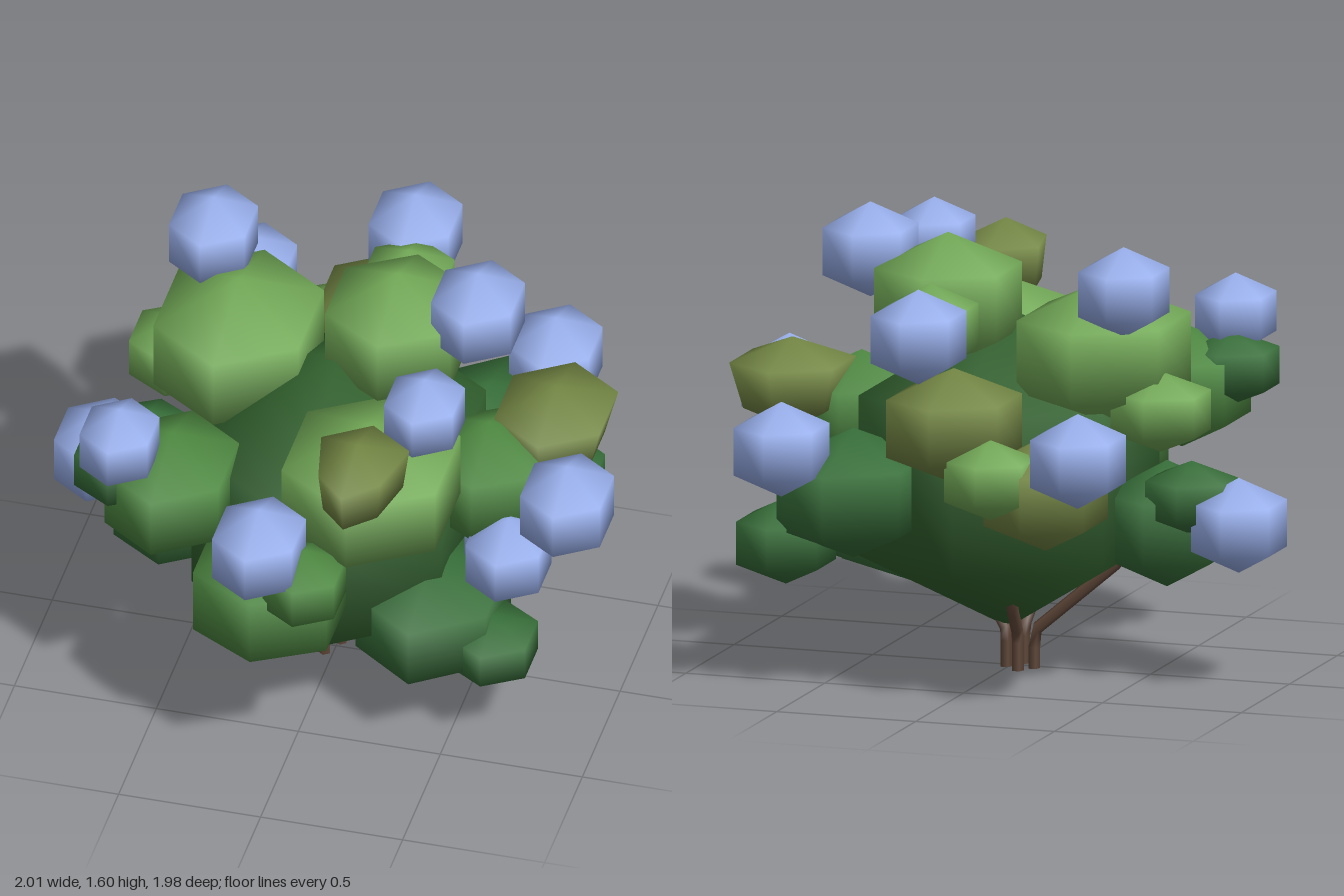
import * as THREE from 'three';

const paint = (color) => new THREE.MeshStandardMaterial({ color });
const COLORS = {
  core: paint(0x33632f),
  dark: paint(0x38703a),
  mid: paint(0x4f8a42),
  light: paint(0x74ab58),
  olive: paint(0x758845),
  blue: paint(0x9bb2ef),
  bark: paint(0x5e4638),
};

// Six-sided, three-band ball with its corners along z, sized to fill a unit half-box.
// base narrows the lower band, nose narrows the front corners.
function makeBall(base = 1, nose = 1) {
  const geometry = new THREE.SphereGeometry(1, 6, 3);
  geometry.rotateY(Math.PI / 6);
  geometry.scale(1 / 0.75, 1, 1 / Math.sqrt(0.75));
  const p = geometry.attributes.position;
  for (let i = 0; i < p.count; i++) {
    const low = p.getY(i) < 0 ? base : 1;
    const front = p.getZ(i) > 0.1 ? nose : 1;
    p.setX(i, p.getX(i) * low * front);
    p.setZ(i, p.getZ(i) * low);
  }
  return geometry;
}
const BALL = makeBall();
const TAPERED = makeBall(0.78);
const KITE = makeBall(0.88, 0.7);

function blob(name, material, [x, y, z], [hx, hy, hz], geometry = BALL) {
  const mesh = new THREE.Mesh(geometry, material);
  mesh.name = name;
  mesh.position.set(x, y, z);
  mesh.scale.set(hx, hy, hz);
  return mesh;
}

// Leaf clumps: colour, centre, half size, shape
const CLUMPS = [
  // crown
  ['light', [-0.38, 1.14, -0.14], [0.255, 0.25, 0.34]],
  ['light', [0.18, 1.29, -0.14], [0.22, 0.23, 0.27]],
  ['light', [0.23, 1.04, 0.4], [0.27, 0.24, 0.34]],
  ['olive', [0.255, 1.255, 0.68], [0.155, 0.148, 0.215], KITE],
  ['light', [0.14, 1.25, -0.43], [0.14, 0.15, 0.17]],
  // front
  ['mid', [-0.07, 0.68, 0.62], [0.235, 0.24, 0.26]],
  ['mid', [0.09, 0.84, 0.76], [0.125, 0.14, 0.16]],
  ['mid', [-0.465, 0.92, 0.43], [0.2, 0.215, 0.275]],
  ['dark', [-0.64, 0.99, 0.45], [0.14, 0.13, 0.17]],
  // -x side
  ['dark', [-0.56, 0.53, 0.0], [0.19, 0.22, 0.25]],
  ['dark', [-0.69, 0.65, -0.12], [0.14, 0.13, 0.16]],
  ['light', [-0.62, 0.97, -0.24], [0.15, 0.14, 0.18]],
  // +x side
  ['dark', [0.4, 0.42, 0.22], [0.23, 0.21, 0.33]],
  ['dark', [0.635, 0.36, 0.31], [0.135, 0.12, 0.17]],
  ['mid', [0.54, 0.84, 0.0], [0.2, 0.22, 0.24]],
  ['olive', [0.73, 0.965, -0.17], [0.185, 0.16, 0.25], TAPERED],
  // back
  ['dark', [0.42, 0.655, -0.43], [0.22, 0.225, 0.33]],
  ['dark', [0.65, 0.48, -0.47], [0.145, 0.15, 0.2]],
  ['olive', [-0.32, 0.73, -0.57], [0.18, 0.2, 0.26]],
  ['olive', [0.0, 0.95, -0.6], [0.2, 0.2, 0.26]],
  ['light', [-0.18, 0.8, -0.74], [0.14, 0.14, 0.16]],
];

// Flower heads: centre, and size relative to a full bloom
const FLOWERS = [
  [0.42, 1.375, 0.41, 0.86], [0.47, 1.435, -0.11, 1],
  [-0.525, 1.4, -0.35, 0.95], [0.095, 1.27, -0.695, 1],
  [0.59, 0.845, -0.69, 1], [-0.515, 0.9, -0.8, 1],
  [0.86, 0.895, 0.175, 1], [0.66, 0.665, 0.2, 0.92],
  [0.6, 0.655, 0.07, 0.78], [-0.06, 0.985, 0.795, 1],
  [-0.615, 1.155, 0.555, 0.85], [-0.865, 0.57, -0.135, 1],
];

// Stems: foot x and z, elbow, tip
const STEMS = [
  [-0.09, -0.03, [-0.38, 0.38, 0], [-0.39, 0.74, 0.02]],
  [-0.03, 0.04, [-0.05, 0.25, 0.13], [-0.08, 0.5, 0.3]],
  [0.01, -0.03, [0.08, 0.26, -0.03], [0.2, 0.5, -0.05]],
  [-0.05, -0.085, [-0.06, 0.23, -0.17], [-0.1, 0.5, -0.35]],
];

function stem([x, z, elbow, tip]) {
  // upright foot, then straight runs outward into the leaves
  const points = [[x, 0, z], [x, 0.13, z], elbow, tip].map((p) => new THREE.Vector3(...p));
  const path = new THREE.CurvePath();
  for (let i = 0; i < 3; i++) path.add(new THREE.LineCurve3(points[i], points[i + 1]));
  const mesh = new THREE.Mesh(new THREE.TubeGeometry(path, 12, 0.022, 5), COLORS.bark);
  mesh.name = 'stem';
  return mesh;
}

export function createModel() {
  const bush = new THREE.Group();
  bush.name = 'floweringBush';

  const stems = new THREE.Group();
  stems.name = 'stems';
  COLORS.bark.side = THREE.DoubleSide;
  STEMS.forEach((s) => stems.add(stem(s)));

  const foliage = new THREE.Group();
  foliage.name = 'foliage';
  foliage.add(blob('leafCore', COLORS.core, [0.01, 0.685, 0], [0.44, 0.555, 0.59]));
  CLUMPS.forEach(([tone, at, half, shape]) =>
    foliage.add(blob('leafClump', COLORS[tone], at, half, shape)));

  const flowers = new THREE.Group();
  flowers.name = 'flowers';
  FLOWERS.forEach(([x, y, z, s]) =>
    flowers.add(blob('flowerHead', COLORS.blue, [x, y, z], [0.14 * s, 0.165 * s, 0.19 * s])));

  bush.add(stems, foliage, flowers);
  return bush;
}
